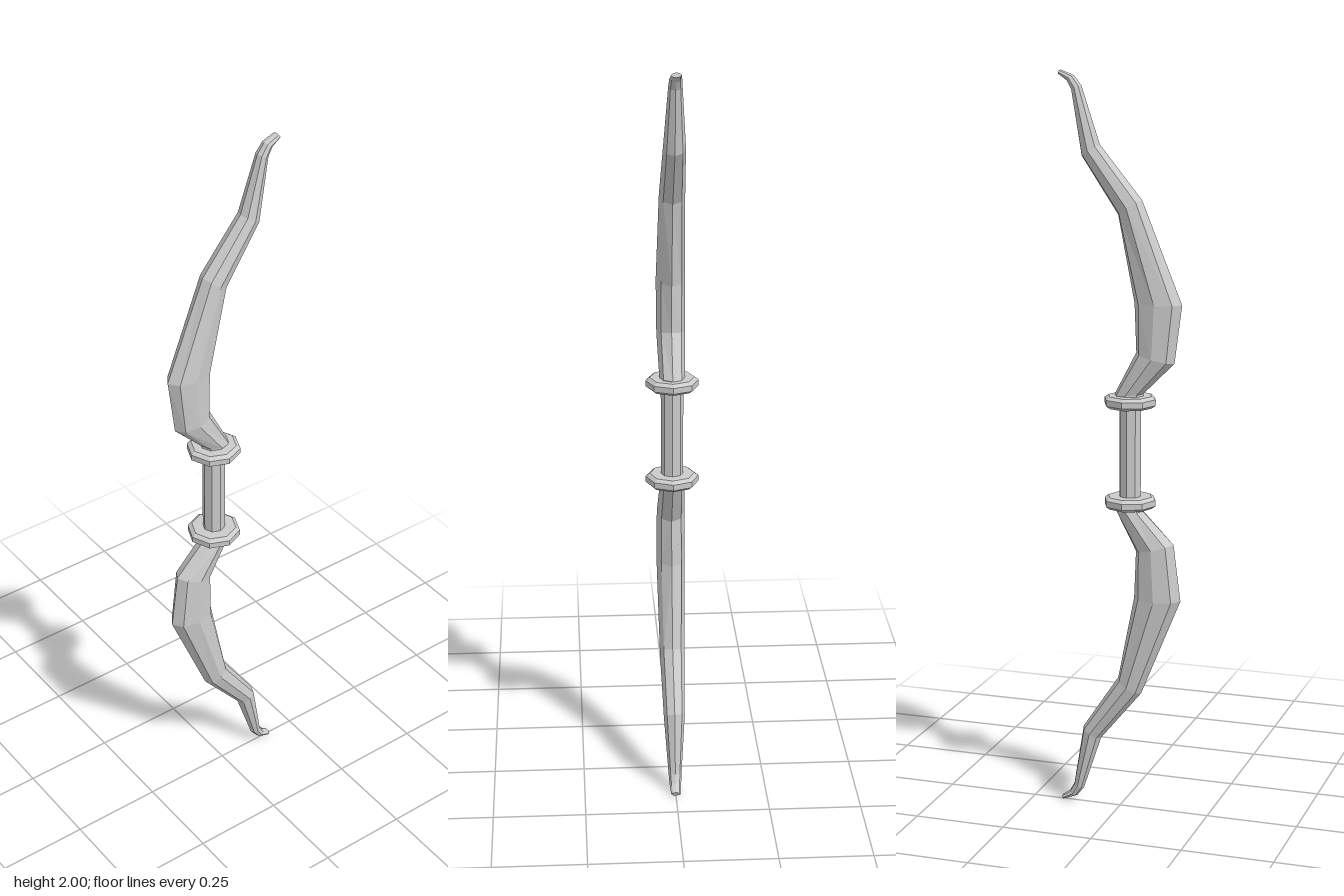
import * as THREE from 'three';

const SIDES = 8;
const GRIP_X = -0.028;

// Limb stations from ring to tip: [back x, back y, belly x, belly y, half depth]
const STATIONS = [
  [-0.065, 1.13, 0.01, 1.13, 0.033],
  [-0.065, 1.16, 0.015, 1.155, 0.034],
  [-0.15, 1.245, -0.045, 1.27, 0.038],
  [-0.17, 1.4, -0.04, 1.4, 0.039],
  [-0.06, 1.67, 0.005, 1.63, 0.034],
  [0.055, 1.81, 0.105, 1.78, 0.029],
  [0.105, 1.96, 0.133, 1.95, 0.018],
  [0.125, 1.986, 0.145, 1.972, 0.016],
  [0.162, 2.0, 0.167, 1.988, 0.013],
];

// Octagonal loft through the stations; the lower limb mirrors about y = 1
function limbGeometry(lower) {
  const rings = STATIONS.map(([ax, ay, bx, by, depth]) =>
    Array.from({ length: SIDES }, (_, j) => {
      const t = (j / SIDES) * Math.PI * 2;
      const k = (1 + Math.cos(t)) / 2;
      const y = ay + (by - ay) * k;
      return [ax + (bx - ax) * k, lower ? 2 - y : y, depth * Math.sin(t)];
    }));
  const pos = [];
  const tri = (a, b, c) => pos.push(...a, ...(lower ? c : b), ...(lower ? b : c));
  for (let i = 0; i < rings.length - 1; i++) {
    for (let j = 0; j < SIDES; j++) {
      const n = (j + 1) % SIDES;
      tri(rings[i][j], rings[i + 1][j], rings[i + 1][n]);
      tri(rings[i][j], rings[i + 1][n], rings[i][n]);
    }
  }
  // End caps
  const first = rings[0], last = rings[rings.length - 1];
  for (let j = 1; j < SIDES - 1; j++) {
    tri(first[0], first[j], first[j + 1]);
    tri(last[0], last[j + 1], last[j]);
  }
  const geo = new THREE.BufferGeometry();
  geo.setAttribute('position', new THREE.Float32BufferAttribute(pos, 3));
  geo.computeVertexNormals();
  return geo;
}

export function createModel() {
  const group = new THREE.Group();
  const material = new THREE.MeshStandardMaterial({ color: 0xcccccc, flatShading: true });
  const add = (name, geometry, x = 0, y = 0) => {
    const mesh = new THREE.Mesh(geometry, material);
    mesh.name = name;
    mesh.position.set(x, y, 0);
    group.add(mesh);
  };

  // Curved limbs
  add('upperLimb', limbGeometry(false));
  add('lowerLimb', limbGeometry(true));

  // Grip between the rings
  add('grip', new THREE.CylinderGeometry(0.03, 0.03, 0.28, SIDES), GRIP_X, 1);

  // Bevelled guard rings
  const profile = [[0, -0.016], [0.06, -0.016], [0.071, -0.008], [0.071, 0.008], [0.06, 0.016], [0, 0.016]]
    .map(([r, y]) => new THREE.Vector2(r, y));
  const ring = new THREE.LatheGeometry(profile, SIDES);
  add('upperRing', ring, GRIP_X, 1.138);
  add('lowerRing', ring, GRIP_X, 0.865);

  return group;
}
